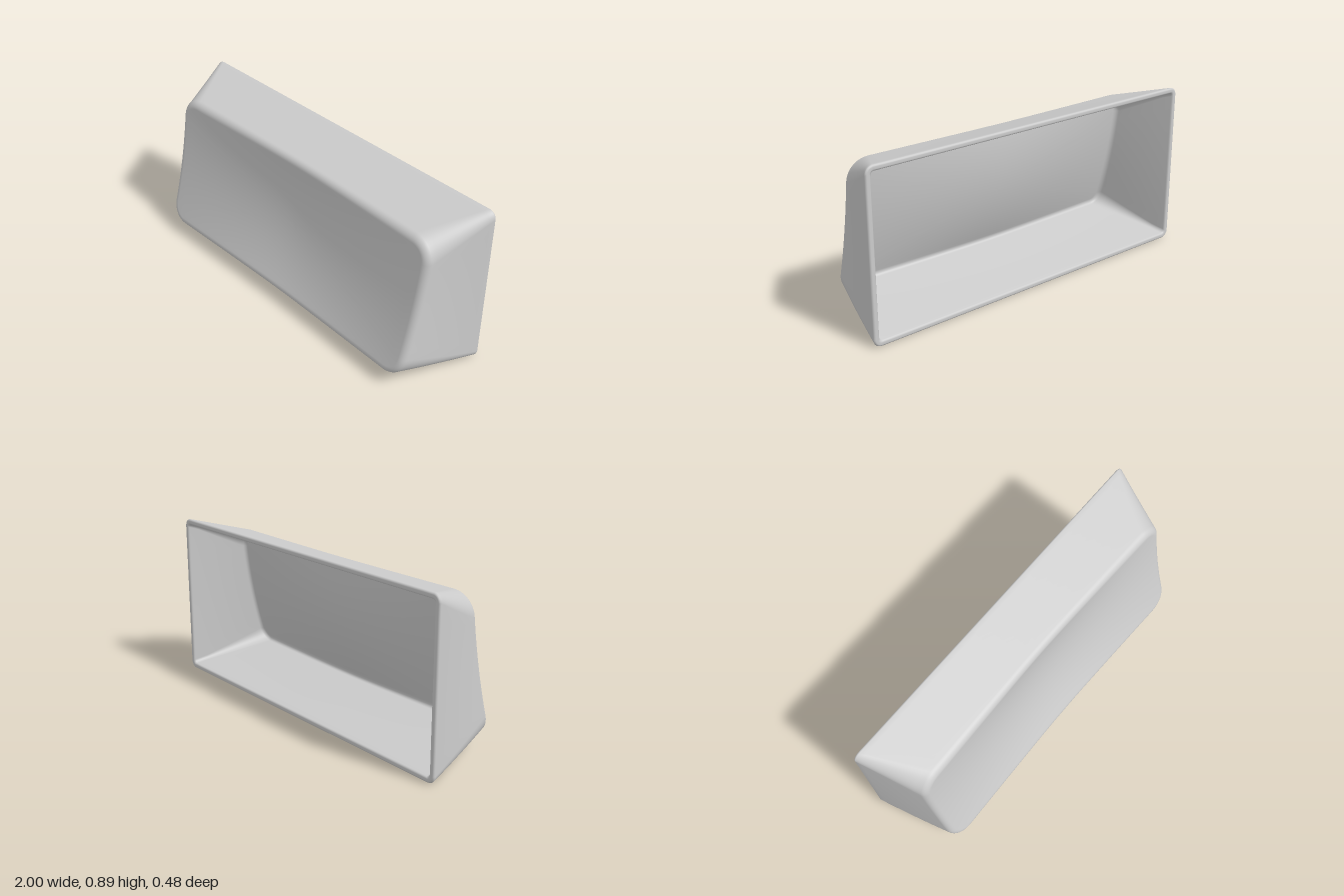
import * as THREE from 'three';

const mix = THREE.MathUtils.lerp;
const BACK = -0.238, RIM = 0.01, WALL = 0.03;

// Front face: slopes back towards the top, with a shallow hollow deepest at the middle
function faceZ(x, y) {
  const v = y - 0.48;
  const across = Math.max(0, 1 - (Math.hypot(x, 0.2) - 0.2) / 0.737);
  const up = Math.max(0, 1 - ((y - 0.447) / 0.375) ** 2);
  return 0.148 - 0.204 * v + 0.148 * v * v - across * (0.015 + 0.04 * up);
}

// Rounded rectangle, counter-clockwise from the front; k = 0 at the rim, 1 at the face
function outline(k, inset, scale = 1) {
  const hw = mix(1, 0.912, k) - inset;
  const y0 = mix(0, 0.073, k) + inset, y1 = mix(0.893, 0.82, k) - inset;
  const r = Math.max(mix(0.042, 0.115, k) - inset, 0.02);
  const cy = (y0 + y1) / 2, hh = (y1 - y0) / 2;
  const corners = [[1, -1], [1, 1], [-1, 1], [-1, -1]];
  const ARC = 10, points = [];
  corners.forEach(([sx, sy], c) => {
    for (let i = 0; i <= ARC; i++) {
      const a = (c - 1 + i / ARC) * Math.PI / 2;
      points.push([sx * (hw - r) + r * Math.cos(a), sy * (hh - r) + r * Math.sin(a)]);
    }
    // Straight run to the next corner
    const [nx, ny] = corners[(c + 1) % 4];
    const from = points[points.length - 1], a = c * Math.PI / 2;
    const to = [nx * (hw - r) + r * Math.cos(a), ny * (hh - r) + r * Math.sin(a)];
    const n = c % 2 ? 32 : 12;
    for (let i = 1; i < n; i++) points.push([mix(from[0], to[0], i / n), mix(from[1], to[1], i / n)]);
  });
  return points.map(([x, y]) => [x * scale, cy + y * scale]);
}

// One skin from the rim to the middle of the face: wall, rounded edge, face
function skin(kEnd, rimInset, endInset, depth, radius) {
  const rings = [], start = 0.2;
  const add = (k, ins, scale, z) =>
    rings.push(outline(k, ins, scale).map(([x, y]) => [x, y, z(x, y)]));
  const drop = a => depth + radius * (1 - Math.sin(a));
  const shrink = a => endInset + radius * (Math.cos(start) - Math.cos(a));
  for (let i = 0; i <= 12; i++) {
    const t = i / 12;
    add(t * kEnd, mix(rimInset, endInset, t), 1,
      (x, y) => mix(BACK + RIM, faceZ(x, y) - drop(start), t));
  }
  for (let i = 1; i <= 8; i++) {
    const a = mix(start, Math.PI / 2, i / 8);
    add(kEnd, shrink(a), 1, (x, y) => faceZ(x, y) - drop(a));
  }
  for (let i = 1; i <= 20; i++) {
    add(kEnd, shrink(Math.PI / 2), 1 - i / 20, (x, y) => faceZ(x, y) - depth);
  }
  return rings;
}

function loft(rings) {
  const n = rings[0].length, index = [];
  for (let i = 0; i < rings.length - 1; i++) {
    for (let j = 0; j < n; j++) {
      const a = i * n + j, b = i * n + (j + 1) % n;
      index.push(a, b, a + n, b, b + n, a + n);
    }
  }
  const geometry = new THREE.BufferGeometry();
  geometry.setAttribute('position', new THREE.Float32BufferAttribute(rings.flat(2), 3));
  geometry.setIndex(index);
  geometry.computeVertexNormals();
  return geometry;
}

export function createModel() {
  const group = new THREE.Group();
  group.name = 'keycap';

  // Rounded rim joining the inner and outer skins
  const rim = [];
  for (const [inset, lift] of [[0.028, 0.004], [0.024, 0.001], [0.02, 0], [0.01, 0], [0.006, 0.001], [0.002, 0.004]]) {
    rim.push(outline(0, inset).map(([x, y]) => [x, y, BACK + lift]));
  }

  // Hollow shell, open at the back
  const inner = skin(0.96, WALL, 0.045, 0.022, 0.03).reverse();
  const outer = skin(1, 0, 0, 0, 0.042);
  const shell = new THREE.Mesh(
    loft([...inner, ...rim, ...outer]),
    new THREE.MeshStandardMaterial({ color: 0xcccccc })
  );
  shell.name = 'shell';
  group.add(shell);
  return group;
}
